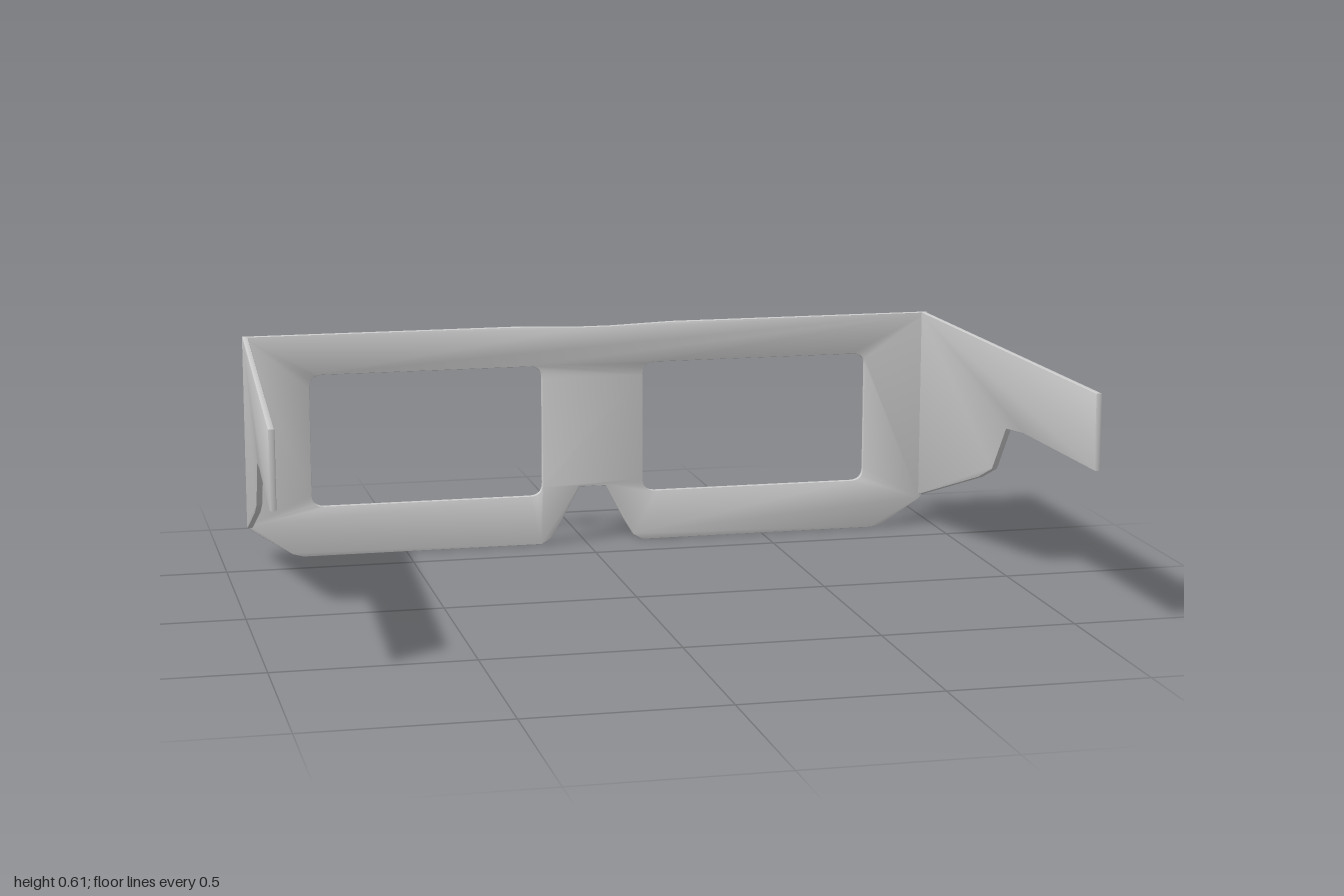
import * as THREE from 'three';
import { toCreasedNormals } from 'three/addons/utils/BufferGeometryUtils.js';

const T = 0.016; // card thickness
const BEVEL = 0.004;
const Z_FRONT = -0.638, Z_TIP = 0.638;

const outline = (pts) => new THREE.Shape(pts.map(([x, y]) => new THREE.Vector2(x, y)));

// Card sheet with softened edges, occupying depth 0..T
function sheet(shape) {
  const g = new THREE.ExtrudeGeometry(shape, {
    depth: T - 2 * BEVEL, bevelEnabled: true, bevelThickness: BEVEL,
    bevelSize: BEVEL, bevelOffset: -BEVEL, bevelSegments: 2, curveSegments: 6,
  });
  return g.translate(0, 0, BEVEL);
}

// Rounded rectangular lens opening
function lensHole(x0, x1, y0, y1, r) {
  const p = new THREE.Path();
  p.moveTo(x0 + r, y0);
  p.lineTo(x1 - r, y0);
  p.quadraticCurveTo(x1, y0, x1, y0 + r);
  p.lineTo(x1, y1 - r);
  p.quadraticCurveTo(x1, y1, x1 - r, y1);
  p.lineTo(x0 + r, y1);
  p.quadraticCurveTo(x0, y1, x0, y1 - r);
  p.lineTo(x0, y0 + r);
  p.quadraticCurveTo(x0, y0, x0 + r, y0);
  return p;
}

export function createModel() {
  const group = new THREE.Group();
  group.name = 'cardGlasses';
  const material = new THREE.MeshStandardMaterial({ color: 0xcccccc });

  const add = (name, geometry) => {
    const mesh = new THREE.Mesh(toCreasedNormals(geometry, 0.6), material);
    mesh.name = name;
    group.add(mesh);
  };

  // Front panel with nose notch and two lens openings
  const front = outline([
    [-0.93, 0.61], [-0.93, 0.095], [-0.915, 0.08], [-0.81, 0.011], [-0.78, 0.003],
    [-0.125, 0.003], [-0.098, 0.018], [-0.07, 0.065], [-0.018, 0.16],
    [0.055, 0.16], [0.105, 0.065], [0.132, 0.018], [0.16, 0.003],
    [0.82, 0.003], [0.85, 0.011], [0.96, 0.08], [0.972, 0.095], [0.972, 0.61],
    [0.24, 0.61], [0.07, 0.604], [-0.03, 0.604], [-0.2, 0.61],
  ]);
  front.holes.push(
    lensHole(-0.755, -0.122, 0.14, 0.5, 0.035),
    lensHole(0.16, 0.792, 0.14, 0.5, 0.035),
  );
  add('frontPanel', sheet(front).translate(0, 0, -0.64));

  // Temple arms: profile drawn as (z, y), then splayed outward along z
  const armProfile = [
    [Z_FRONT, 0.61], [Z_FRONT, 0.09], [-0.62, 0.092], [-0.15, 0.24], [-0.05, 0.282],
    [0.045, 0.408], [0.17, 0.42], [Z_TIP, 0.42], [Z_TIP, 0.61],
  ];
  const arms = [
    { name: 'leftArm', start: 0.972 - T, tip: 1 - T },
    { name: 'rightArm', start: -0.93, tip: -1 },
  ];
  for (const { name, start, tip } of arms) {
    const g = sheet(outline(armProfile)).rotateY(-Math.PI / 2).translate(T, 0, 0);
    const p = g.attributes.position;
    for (let i = 0; i < p.count; i++) {
      const t = (p.getZ(i) - Z_FRONT) / (Z_TIP - Z_FRONT);
      p.setX(i, p.getX(i) + THREE.MathUtils.lerp(start, tip, t));
    }
    add(name, g);
  }
  return group;
}
